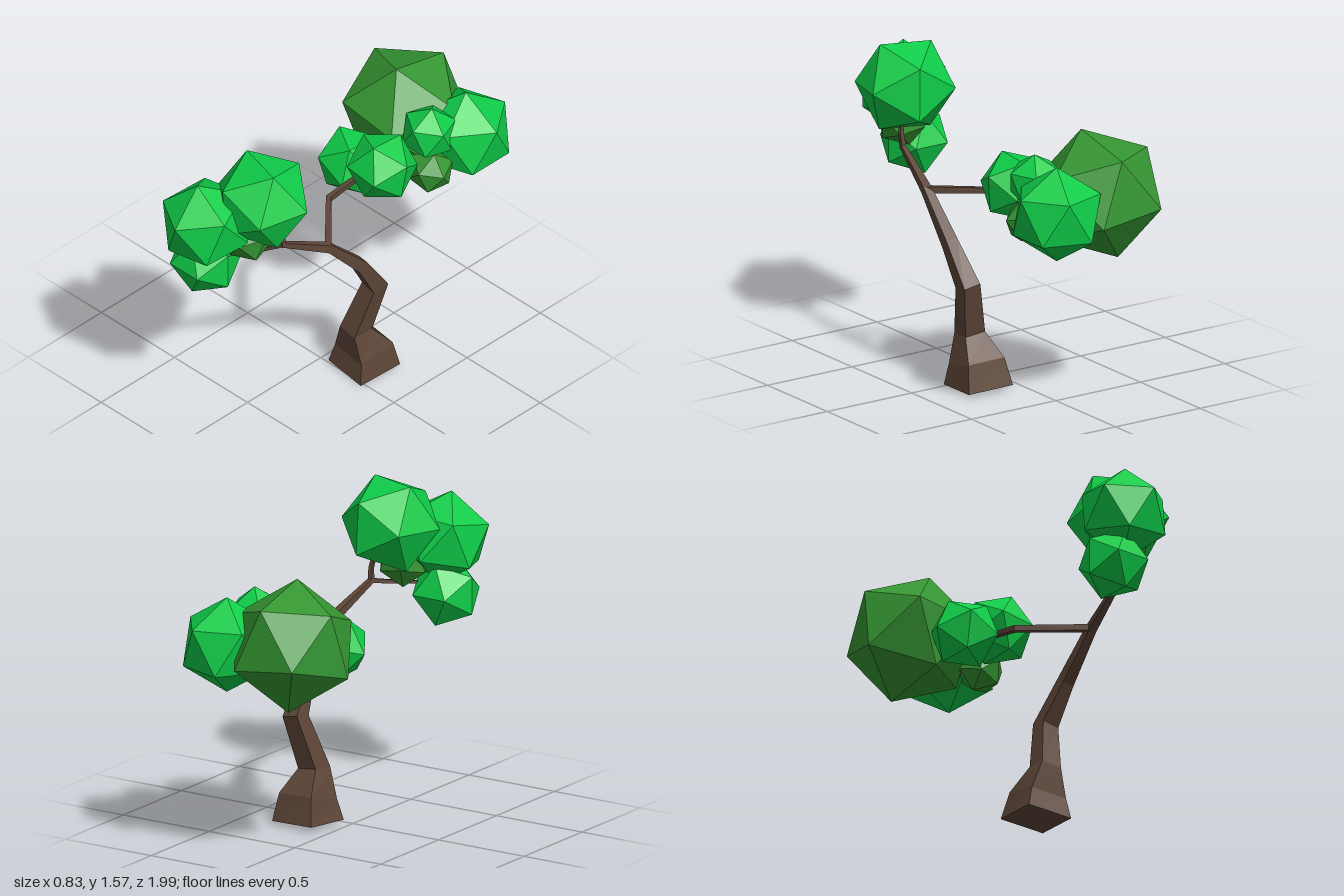
import * as THREE from 'three';

const material = (color) => new THREE.MeshStandardMaterial({ color, flatShading: true });
const bark = material(0x5e4638);
const brightLeaf = material(0x0fcc48);
const oliveLeaf = material(0x359632);

// Square limb swept through [x, y, z, halfWidth] stations
function limb(name, stations, twist = 0) {
  const points = stations.map(([x, y, z]) => new THREE.Vector3(x, y, z));
  const last = points.length - 1;
  const positions = [];
  const index = [];
  points.forEach((p, i) => {
    const before = p.clone().sub(points[Math.max(i - 1, 0)]).normalize();
    const after = points[Math.min(i + 1, last)].clone().sub(p).normalize();
    const t = before.add(after).normalize();
    const side = new THREE.Vector3(1, 0, 0).addScaledVector(t, -t.x).normalize();
    const front = side.clone().cross(t);
    const radius = stations[i][3] * Math.SQRT2;
    for (let k = 0; k < 4; k++) {
      const angle = Math.PI / 4 + k * Math.PI / 2 + twist;
      const corner = p.clone()
        .addScaledVector(side, radius * Math.cos(angle))
        .addScaledVector(front, radius * Math.sin(angle));
      positions.push(corner.x, corner.y, corner.z);
      if (i < last) {
        const a = i * 4 + k;
        const b = i * 4 + (k + 1) % 4;
        index.push(a, a + 4, b, b, a + 4, b + 4);
      }
    }
  });
  const e = last * 4;
  index.push(0, 1, 2, 0, 2, 3, e, e + 2, e + 1, e, e + 3, e + 2);
  const geometry = new THREE.BufferGeometry();
  geometry.setAttribute('position', new THREE.Float32BufferAttribute(positions, 3));
  geometry.setIndex(index);
  geometry.computeVertexNormals();
  const mesh = new THREE.Mesh(geometry, bark);
  mesh.name = name;
  return mesh;
}

// Icosahedral leaf clump, turned so that two neighbouring corners point along a and b
function clump(name, leaf, center, radius, a, b) {
  const va = new THREE.Vector3(...a).normalize();
  const vb = new THREE.Vector3(...b).normalize();
  const zAxis = va.clone().add(vb).normalize();
  const yAxis = va.sub(vb);
  yAxis.addScaledVector(zAxis, -yAxis.dot(zAxis)).normalize();
  const xAxis = yAxis.clone().cross(zAxis);
  const mesh = new THREE.Mesh(new THREE.IcosahedronGeometry(radius, 0), leaf);
  mesh.quaternion.setFromRotationMatrix(new THREE.Matrix4().makeBasis(xAxis, yAxis, zAxis));
  mesh.position.set(...center);
  mesh.name = name;
  return mesh;
}

export function createModel() {
  const tree = new THREE.Group();
  tree.name = 'tree';

  // Bent trunk and its branches
  tree.add(
    limb('trunk', [
      [0.185, 0.008, -0.113, 0.123], [0.19, 0.13, -0.105, 0.1], [0.192, 0.26, -0.05, 0.055],
      [0.252, 0.525, -0.12, 0.045], [0.272, 0.72, 0.008, 0.031],
      [0.265, 0.93, 0.21, 0.021], [0.215, 1.07, 0.48, 0.012],
    ], 0.1),
    limb('backBranch', [
      [0.262, 0.93, 0.21, 0.016], [0.005, 0.945, -0.05, 0.014], [0.02, 0.99, -0.3, 0.011],
    ]),
    limb('upperTwig', [[0.215, 1.06, 0.475, 0.012], [0.22, 1.13, 0.485, 0.01], [0.2, 1.24, 0.5, 0.008]]),
    limb('frontTwig', [[0.215, 1.068, 0.475, 0.011], [0.13, 1.045, 0.6, 0.008], [0.0, 1.03, 0.74, 0.006]]),
  );

  // Front crown
  const frontCrown = new THREE.Group();
  frontCrown.name = 'frontCrown';
  frontCrown.add(
    clump('frontTopClump', brightLeaf, [0.15, 1.35, 0.55], 0.25, [0.24, 0.01, -0.07], [0.165, 0, 0.18]),
    clump('frontOuterClump', brightLeaf, [-0.005, 1.25, 0.78], 0.232, [0.01, 0.07, 0.22], [-0.02, 0.21, 0.03]),
    clump('frontLowClump', brightLeaf, [-0.04, 0.99, 0.745], 0.178, [0, -0.15, 0.09], [0, -0.15, -0.09]),
    clump('frontInnerClump', oliveLeaf, [0.12, 1.15, 0.62], 0.13, [0.2, 1, 0.3], [1, 0.4, 0]),
  );

  // Back crown
  const backCrown = new THREE.Group();
  backCrown.name = 'backCrown';
  backCrown.add(
    clump('backLargeClump', oliveLeaf, [-0.12, 1.08, -0.695], 0.325, [0.04, 0.31, 0.1], [0.03, 0.22, -0.23]),
    clump('backOuterClump', brightLeaf, [0.2, 1.057, -0.79], 0.238, [0, 1, 0], [0.894, 0.447, 0]),
    clump('backRightClump', brightLeaf, [-0.1, 0.98, -0.31], 0.177, [-0.175, -0.01, 0], [-0.06, -0.125, 0.1]),
    clump('backLeftClump', brightLeaf, [0.11, 1.06, -0.31], 0.178, [0.02, 0.16, 0.07], [0.02, 0.16, -0.11]),
    clump('backUpperClump', brightLeaf, [0.17, 1.16, -0.57], 0.142, [0.1, 1, -0.05], [0.9, 0.4, 0.2]),
    clump('backInnerClump', oliveLeaf, [0.2, 0.96, -0.55], 0.118, [1, 0.1, 0.2], [0.3, 1, 0.1]),
  );

  tree.add(frontCrown, backCrown);
  return tree;
}
